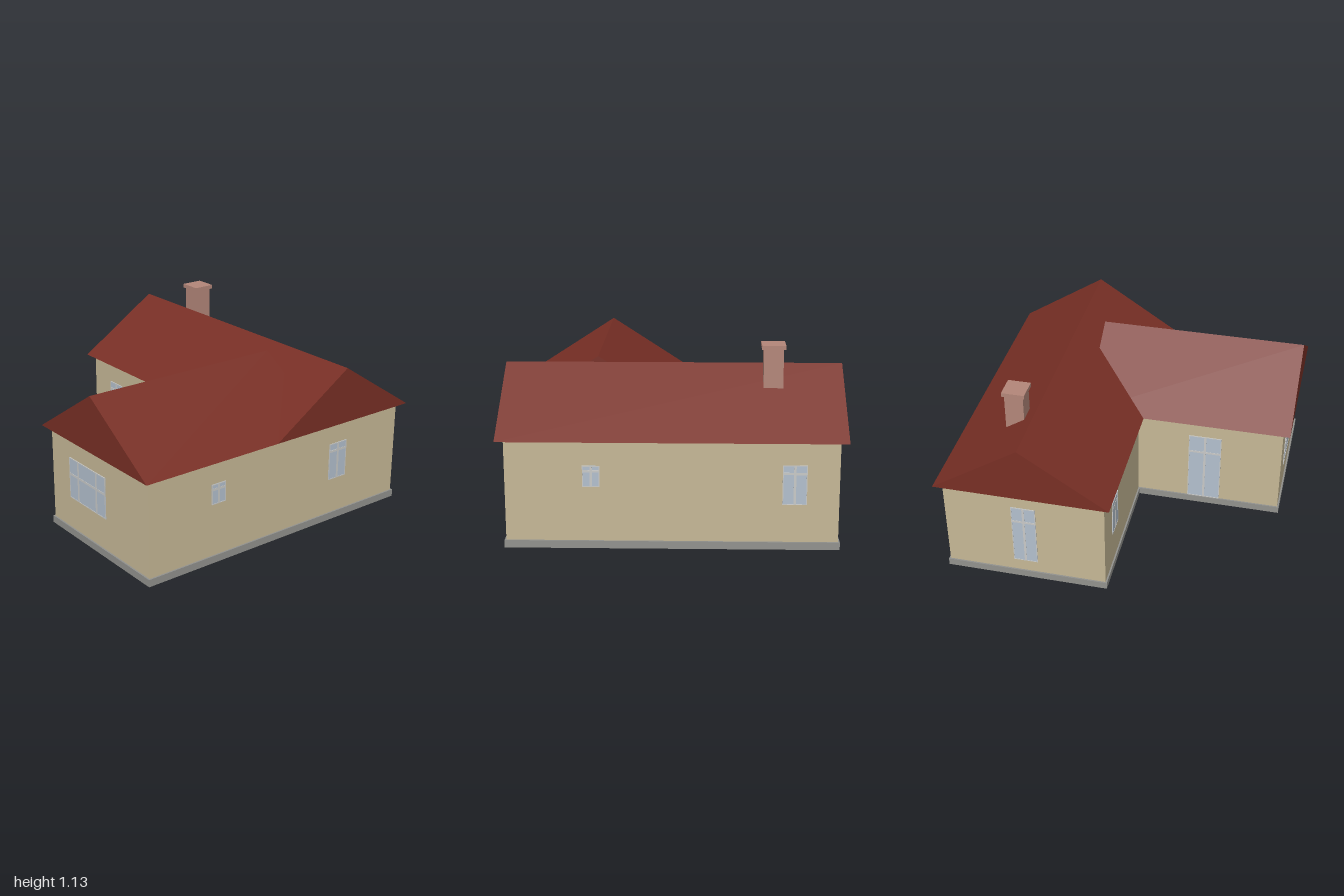
import * as THREE from 'three';

const mat = (name, color, extra = {}) => {
  const m = new THREE.MeshStandardMaterial({ color, ...extra });
  m.name = name;
  return m;
};

export function createModel() {
  const house = new THREE.Group();
  house.name = 'house';
  const wallMat = mat('cream plaster', 0xc6b896);
  const roofMat = mat('red roof', 0x782f25);
  const stoneMat = mat('grey foundation', 0x92928e);
  const brickMat = mat('pale brick', 0xb38679);
  const glassMat = mat('window glass', 0xb3c0ce);
  const frameMat = mat('window frame', 0xc9cac8);

  const add = (parent, name, geo, material, x = 0, y = 0, z = 0) => {
    const m = new THREE.Mesh(geo, material);
    m.name = name;
    m.position.set(x, y, z);
    parent.add(m);
    return m;
  };

  // L-shaped plan, extruded upward; e is the outer half size, i the inner corner
  const plan = (e, i, height) => {
    const s = new THREE.Shape([
      [-e, e], [-e, -i], [-i, -i], [-i, -e], [e, -e], [e, e],
    ].map(([x, y]) => new THREE.Vector2(x, y)));
    return new THREE.ExtrudeGeometry(s, { depth: height, bevelEnabled: false })
      .rotateX(-Math.PI / 2);
  };
  const foundation = plan(0.965, -0.035, 0.045);
  const walls = plan(0.955, -0.025, 0.605);
  // the inner corner sits at x = -0.03, z = 0.03
  const fixPlan = (g, i) => {
    const p = g.attributes.position;
    for (let k = 0; k < p.count; k++) {
      if (Math.abs(p.getX(k)) < 0.1) p.setX(k, -i);
      if (Math.abs(p.getZ(k)) < 0.1) p.setZ(k, i);
    }
    return g;
  };
  add(house, 'foundation', fixPlan(foundation, 0.04), stoneMat);
  add(house, 'walls', fixPlan(walls, 0.03), wallMat, 0, 0.04, 0);

  // Gabled roof prisms, extruded along z
  const gable = (length) => {
    const s = new THREE.Shape();
    s.moveTo(-0.535, 0);
    s.lineTo(0.535, 0);
    s.lineTo(0, 0.347);
    s.closePath();
    return new THREE.ExtrudeGeometry(s, { depth: length, bevelEnabled: false });
  };
  add(house, 'mainRoof', gable(2), roofMat, -1, 0.643, -0.465).rotation.y = Math.PI / 2;
  add(house, 'wingRoof', gable(1.305), roofMat, 0.465, 0.643, -0.305);

  // Chimney
  add(house, 'chimneyStack', new THREE.BoxGeometry(0.115, 0.4, 0.115), brickMat, -0.585, 0.91, -0.583);
  add(house, 'chimneyCap', new THREE.BoxGeometry(0.14, 0.025, 0.14), brickMat, -0.585, 1.118, -0.583);

  // Windows: glass plate plus glazing bars, facing +z before turning
  const addWindow = (name, x, y, z, turn, w, h, bars, barY) => {
    const g = new THREE.Group();
    g.name = name;
    g.position.set(x, y, z);
    g.rotation.y = turn;
    const bar = (bw, bh, bx, by) =>
      add(g, 'glazingBar', new THREE.BoxGeometry(bw, bh, 0.008), frameMat, bx, by, 0);
    add(g, 'glass', new THREE.BoxGeometry(w, h, 0.004), glassMat);
    for (const b of bars) bar(0.014, h, b, 0);
    bar(w, 0.014, 0, barY);
    for (const s of [-1, 1]) {
      bar(0.005, h, s * (w / 2 - 0.0025), 0);
      bar(w, 0.005, 0, s * (h / 2 - 0.0025));
    }
    house.add(g);
  };
  const R = Math.PI / 2;
  const E = 0.956;
  addWindow('frontLeftWindow', -0.7, 0.387, 0.031, 0, 0.14, 0.235, [0], 0.068);
  addWindow('frontWideWindow', 0.348, 0.375, E, 0, 0.375, 0.26, [-0.094, 0.094], 0.025);
  addWindow('sideWindow', E, 0.387, -0.46, R, 0.14, 0.235, [0], 0.068);
  addWindow('sideSmallWindow', E, 0.432, 0.47, R, 0.1, 0.125, [0], 0.03);
  addWindow('backWindow', -0.7, 0.387, -E, Math.PI, 0.14, 0.235, [0], 0.068);
  addWindow('backSmallWindow', 0.46, 0.432, -E, Math.PI, 0.1, 0.125, [0], 0.03);
  addWindow('endTallWindow', -E, 0.33, -0.465, -R, 0.15, 0.41, [0], 0.1);
  addWindow('wingGlazedDoor', -0.031, 0.288, 0.465, -R, 0.21, 0.485, [0], 0.12);

  return house;
}
